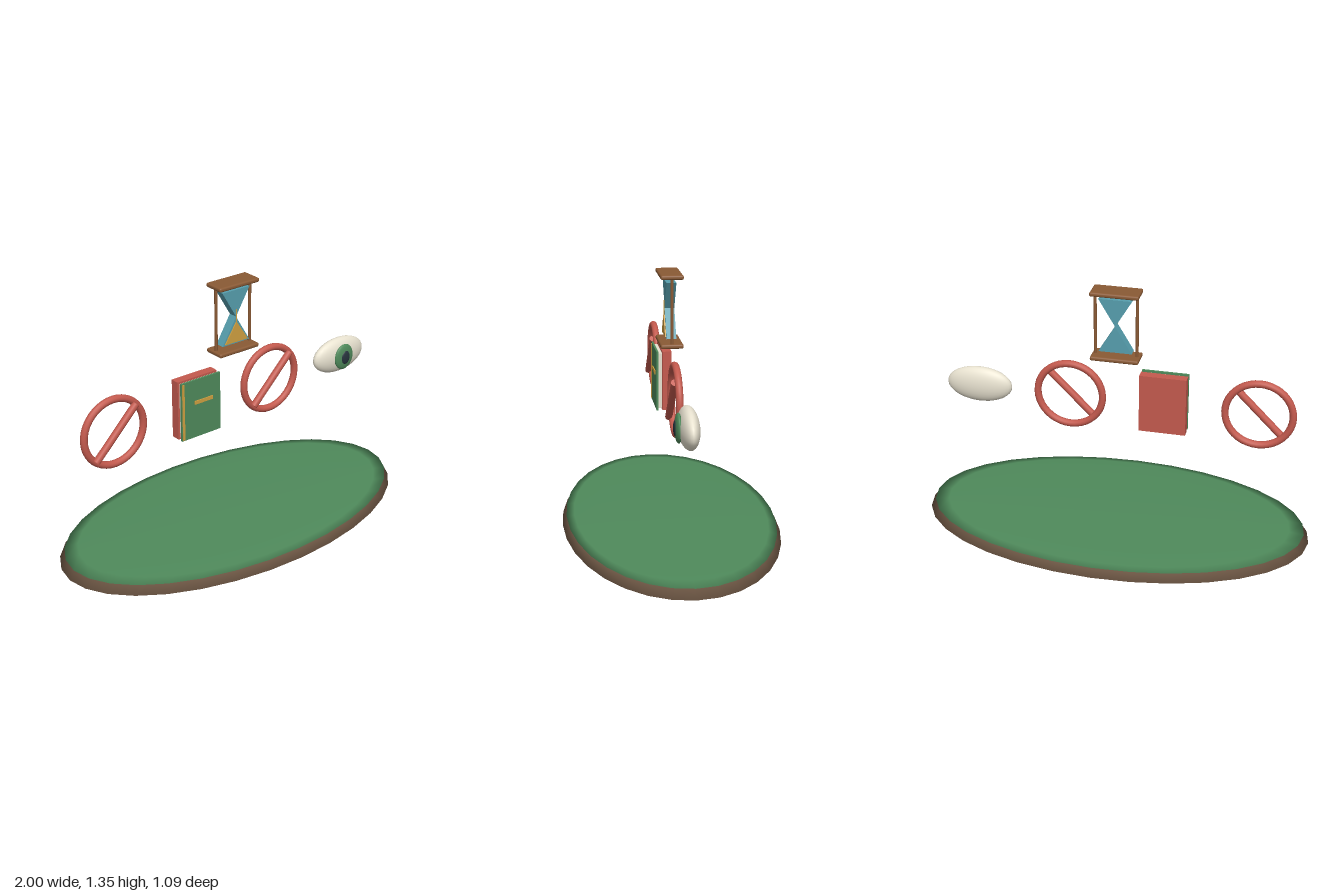
import * as THREE from 'three';
import { RoundedBoxGeometry } from 'three/addons/geometries/RoundedBoxGeometry.js';

const mat = (color) => new THREE.MeshStandardMaterial({ color });
const earth = mat(0x6a5442), green = mat(0x4f8a5b), red = mat(0xc45a4e), wood = mat(0x8a5a35);
const glass = mat(0x579fae), gold = mat(0xd0a040), ivory = mat(0xe8e2d0), dark = mat(0x26333c);

function add(parent, name, geometry, material, x, y, z) {
  const mesh = new THREE.Mesh(geometry, material);
  mesh.name = name;
  mesh.position.set(x, y, z);
  parent.add(mesh);
  return mesh;
}

function group(parent, name, x, y) {
  const g = new THREE.Group();
  g.name = name;
  g.position.set(x, y, 0);
  parent.add(g);
  return g;
}

const ellipsoid = (rx, ry, rz, w = 32, h = 16) => new THREE.SphereGeometry(1, w, h).scale(rx, ry, rz);
const box = (w, h, d) => new THREE.BoxGeometry(w, h, d);

// Triangular prism with its base at y0, its apex at y1 and its back at z = 0
function prism(half, y0, y1, depth) {
  const corners = [[-half, y0], [half, y0], [0, y1]].map(([x, y]) => new THREE.Vector2(x, y));
  return new THREE.ExtrudeGeometry(new THREE.Shape(corners), { depth, bevelEnabled: false });
}

// Ring with a diagonal bar across its front
function prohibitionSign(parent, x) {
  const sign = group(parent, 'prohibitionSign', x, 0.765);
  add(sign, 'ring', new THREE.TorusGeometry(0.167, 0.018, 12, 40), red, 0, 0, 0);
  const bar = add(sign, 'diagonalBar', new THREE.CylinderGeometry(0.018, 0.018, 0.33, 16), red, 0, 0, 0.018);
  bar.rotation.z = -Math.PI / 4;
}

export function createModel() {
  const model = new THREE.Group();
  model.name = 'floatingSymbols';

  // Oval base with a turf layer
  add(model, 'earthBase', ellipsoid(1, 0.06, 0.545, 32, 8), earth, 0, 0.06, 0);
  add(model, 'turf', ellipsoid(0.975, 0.018, 0.525, 32, 8), green, 0, 0.105, 0);

  for (const x of [-0.712, 0.237]) prohibitionSign(model, x);

  // Book
  const book = group(model, 'book', -0.238, 0.767);
  add(book, 'bookBody', box(0.235, 0.305, 0.047), red, 0, 0, -0.002);
  add(book, 'pages', box(0.215, 0.285, 0.02), ivory, 0, 0, 0.031);
  add(book, 'frontCover', box(0.235, 0.305, 0.01), green, 0, 0, 0.046);
  add(book, 'spineStrip', box(0.013, 0.295, 0.008), gold, -0.107, 0, 0.05);
  add(book, 'titleBar', box(0.11, 0.018, 0.01), gold, 0.015, 0.034, 0.051);

  // Eye
  const eye = group(model, 'eye', 0.71, 0.766);
  add(eye, 'eyeball', ellipsoid(0.17, 0.095, 0.048), ivory, 0, 0, 0);
  add(eye, 'iris', ellipsoid(0.062, 0.07, 0.018), green, 0, 0, 0.046);
  add(eye, 'pupil', ellipsoid(0.028, 0.037, 0.01), dark, 0, 0, 0.06);

  // Hourglass
  const hourglass = group(model, 'hourglass', 0, 1.168);
  for (const side of [-1, 1]) {
    add(hourglass, 'endPlate', new RoundedBoxGeometry(0.242, 0.022, 0.112, 3, 0.009), wood, 0, side * 0.169, 0);
    add(hourglass, 'post', new THREE.CylinderGeometry(0.008, 0.008, 0.33, 12), wood, side * 0.104, 0, 0);
  }
  // The upper bulb is the lower one turned half a circle about z
  for (const turn of [0, Math.PI]) {
    const bulb = add(hourglass, 'glassBulb', prism(0.083, -0.138, 0, 0.048), glass, 0, 0, -0.024);
    bulb.rotation.z = turn;
  }
  add(hourglass, 'sandPile', prism(0.07, -0.13, -0.025, 0.01), gold, 0, 0, 0.02);
  add(hourglass, 'sandStream', new THREE.CylinderGeometry(0.003, 0.003, 0.08, 8), gold, 0, 0, 0.027);

  return model;
}
